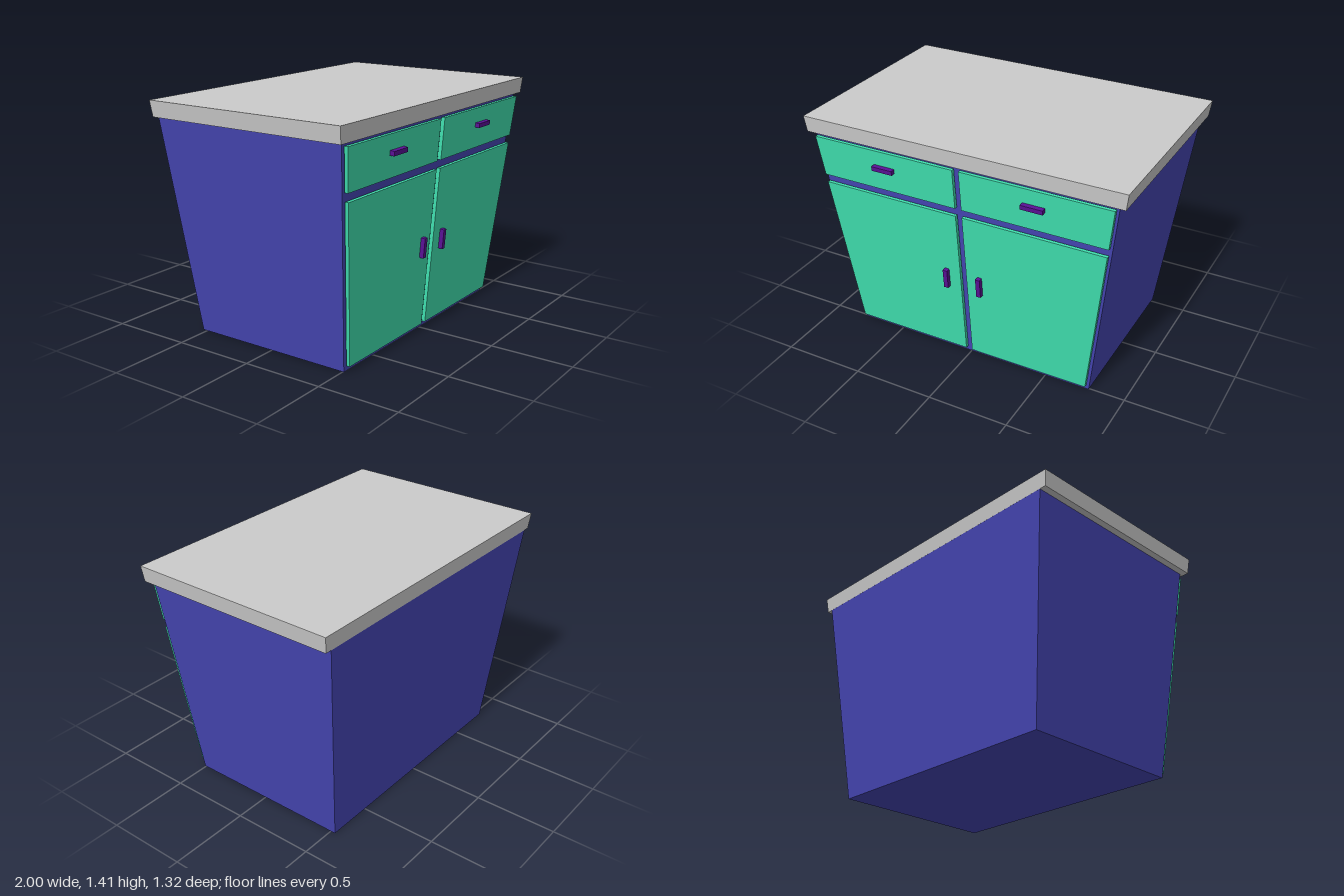
import * as THREE from 'three';

const material = (color) => new THREE.MeshStandardMaterial({ color, flatShading: true });

// Six-sided block whose x and z ranges differ between bottom and top:
// bottom / top = [x0, x1, z0, z1]
function taperedBlock(name, mat, y0, y1, bottom, top) {
  const geo = new THREE.BoxGeometry(1, 1, 1);
  const p = geo.attributes.position;
  for (let i = 0; i < p.count; i++) {
    const r = p.getY(i) > 0 ? top : bottom;
    p.setXYZ(i, p.getX(i) > 0 ? r[1] : r[0], p.getY(i) > 0 ? y1 : y0, p.getZ(i) > 0 ? r[3] : r[2]);
  }
  geo.computeVertexNormals();
  const mesh = new THREE.Mesh(geo, mat);
  mesh.name = name;
  return mesh;
}

export function createModel() {
  const group = new THREE.Group();
  group.name = 'cabinet';
  const blue = material(0x4646b4);
  const green = material(0x40e0b0);
  const purple = material(0x5a1096);
  const red = material(0x802020);
  const grey = material(0xcccccc);

  // Slope of the front face and its position at a given height
  const slope = 0.0833;
  const frontZ = (y) => 0.507 + slope * y;
  const tilt = Math.atan(slope);

  // Flared body and worktop
  group.add(taperedBlock('body', blue, 0, 1.32, [-0.78, 0.78, -0.53, 0.507], [-0.947, 0.947, -0.65, 0.615]));
  group.add(taperedBlock('worktop', grey, 1.316, 1.413, [-0.987, 0.987, -0.65, 0.64], [1, -1, 0, 0].map((v, i) => [-1, 1, -0.66, 0.648][i])));

  // Front panel following the slope, on the side given by s
  const panel = (name, mat, s, y0, y1, inner, out0, out1, gap, depth) => {
    const range = (out, y) => {
      const x = [s * inner, s * out].sort((a, b) => a - b);
      return [...x, frontZ(y) + gap, frontZ(y) + gap + depth];
    };
    group.add(taperedBlock(name, mat, y0, y1, range(out0, y0), range(out1, y1)));
  };

  const handle = (name, x, y, w, h) => {
    const mesh = new THREE.Mesh(new THREE.BoxGeometry(w, h, 0.034), purple);
    mesh.name = name;
    mesh.position.set(x, y, frontZ(y) + 0.038);
    mesh.rotation.x = tilt;
    group.add(mesh);
  };

  for (const s of [-1, 1]) {
    const side = s > 0 ? 'left' : 'right';
    panel(side + 'Door', green, s, 0.035, 1.0, 0.02, 0.768, 0.893, 0.006, 0.022);
    panel(side + 'Drawer', green, s, 1.05, 1.298, 0.02, 0.9, 0.931, 0.005, 0.022);
    // Drawer box just behind its front
    panel(side + 'DrawerBox', red, s, 1.08, 1.28, 0.06, 0.86, 0.89, -0.02, 0.024);
    handle(side + 'DoorHandle', s * 0.108, 0.55, 0.028, 0.122);
    handle(side + 'DrawerHandle', s * 0.47, 1.193, 0.134, 0.027);
  }
  // Centre the depth
  return group;
}
